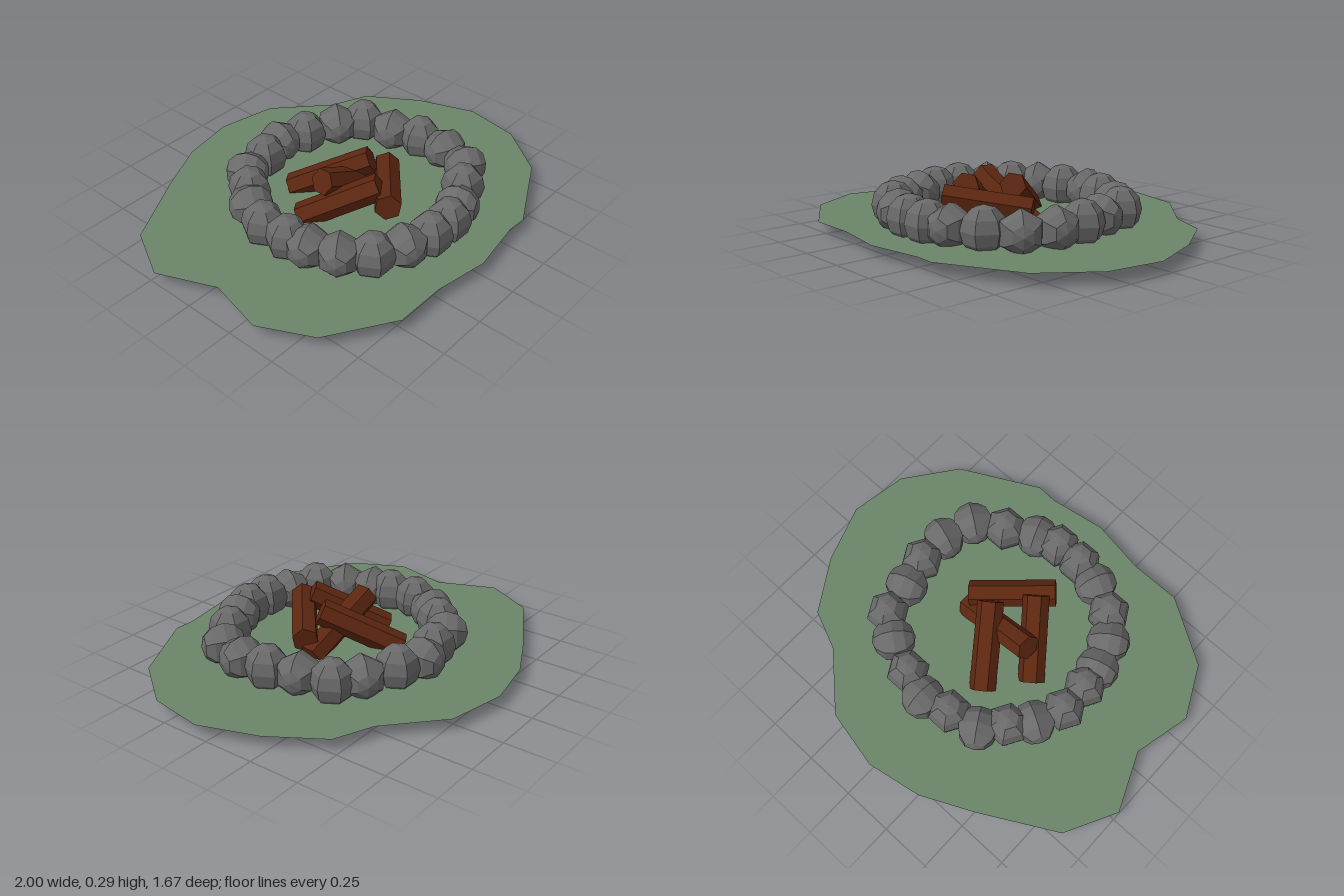
import * as THREE from 'three';

const material = (color, side = THREE.FrontSide) =>
  new THREE.MeshStandardMaterial({ color, side, flatShading: true });

export function createModel() {
  const model = new THREE.Group();
  model.name = 'campfire';

  // Flat patch of grass with an irregular outline (x, z)
  const outline = [
    [0.01, -0.84], [0.30, -0.78], [0.55, -0.55], [0.74, -0.47], [0.90, -0.22],
    [1.0, 0.06], [0.955, 0.34], [0.77, 0.59], [0.39, 0.79], [0.29, 0.785],
    [0.01, 0.83], [-0.26, 0.785], [-0.51, 0.785], [-0.82, 0.59], [-0.945, 0.34],
    [-0.88, 0.06], [-1.0, -0.22], [-0.87, -0.47], [-0.51, -0.67], [-0.26, -0.79],
  ];
  const patch = new THREE.ShapeGeometry(
    new THREE.Shape(outline.map(([x, z]) => new THREE.Vector2(x, -z))));
  patch.rotateX(-Math.PI / 2);
  const grass = new THREE.Mesh(patch, material(0x6b8568, THREE.DoubleSide));
  grass.name = 'grassPatch';
  grass.position.y = 0.065;
  model.add(grass);

  // Ring of stones: six-sided spheres, upright or lying on their side (x, z, lying)
  const stones = [
    [0.035, -0.445, 1], [0.175, -0.40, 0], [0.34, -0.33, 1], [0.457, -0.25, 0],
    [0.49, -0.085, 1], [0.53, 0.065, 0], [0.53, 0.22, 1], [0.48, 0.38, 1],
    [0.34, 0.47, 0], [0.195, 0.545, 1], [0.083, 0.58, 0], [-0.055, 0.58, 0],
    [-0.19, 0.545, 1], [-0.334, 0.475, 0], [-0.43, 0.36, 1], [-0.48, 0.22, 1],
    [-0.495, 0.11, 0], [-0.495, -0.04, 0], [-0.435, -0.18, 1], [-0.35, -0.275, 0],
    [-0.26, -0.38, 1], [-0.105, -0.41, 0],
  ];
  const upright = new THREE.SphereGeometry(0.106, 6, 6).scale(1, 1.08, 1);
  const lying = new THREE.SphereGeometry(0.106, 6, 6).rotateZ(Math.PI / 2).scale(1, 1.03, 1);
  const stoneMaterial = material(0x696969);
  const ring = new THREE.Group();
  ring.name = 'stoneRing';
  stones.forEach(([x, z, isLying]) => {
    const stone = new THREE.Mesh(isLying ? lying : upright, stoneMaterial);
    stone.name = 'stone';
    stone.position.set(x, 0.138, z);
    if (isLying) stone.rotation.y = -Math.atan2(z - 0.07, x - 0.02);
    ring.add(stone);
  });
  model.add(ring);

  // Leaning hexagonal logs, each from its low end to its high end
  const logs = [
    [[-0.13, 0.06, -0.21], [0.10, 0.245, 0.10]],
    [[-0.275, 0.06, -0.02], [-0.04, 0.245, 0.27]],
    [[0.23, 0.145, 0.09], [-0.09, 0.195, 0.36]],
    [[0.22, 0.06, 0.07], [-0.19, 0.245, 0.045]],
  ];
  const logMaterial = material(0x5c2610);
  const pile = new THREE.Group();
  pile.name = 'logPile';
  logs.forEach(([low, high]) => {
    const a = new THREE.Vector3(...low);
    const b = new THREE.Vector3(...high);
    const log = new THREE.Mesh(
      new THREE.CylinderGeometry(0.065, 0.065, a.distanceTo(b), 6), logMaterial);
    log.name = 'log';
    log.position.copy(a).add(b).multiplyScalar(0.5);
    log.quaternion.setFromUnitVectors(new THREE.Vector3(0, 1, 0), b.sub(a).normalize());
    pile.add(log);
  });
  model.add(pile);

  return model;
}
